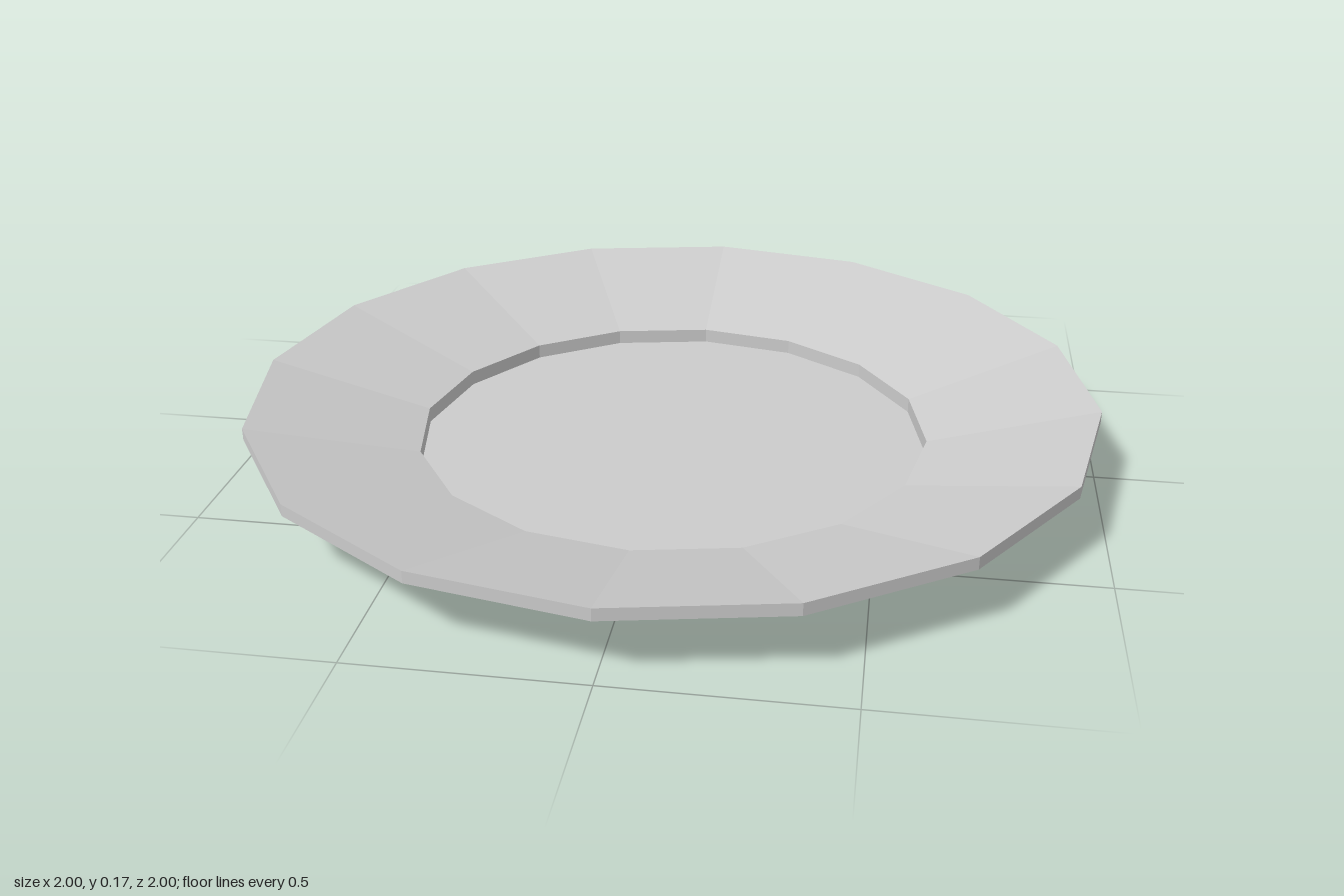
import * as THREE from 'three';

export function createModel() {
  const group = new THREE.Group();
  group.name = 'plate';

  // Closed cross-section: foot, flared underside, rim edge, flared top, recessed well
  const profile = [
    [0, 0], [0.607, 0], [0.607, 0.036], [1, 0.142],
    [1, 0.17], [0.607, 0.065], [0.607, 0.03], [0, 0.03],
  ].map(([r, y]) => new THREE.Vector2(r, y));

  const dish = new THREE.Mesh(
    new THREE.LatheGeometry(profile, 16),
    new THREE.MeshStandardMaterial({ color: 0xcccccc, flatShading: true }),
  );
  dish.name = 'dish';
  group.add(dish);
  return group;
}
